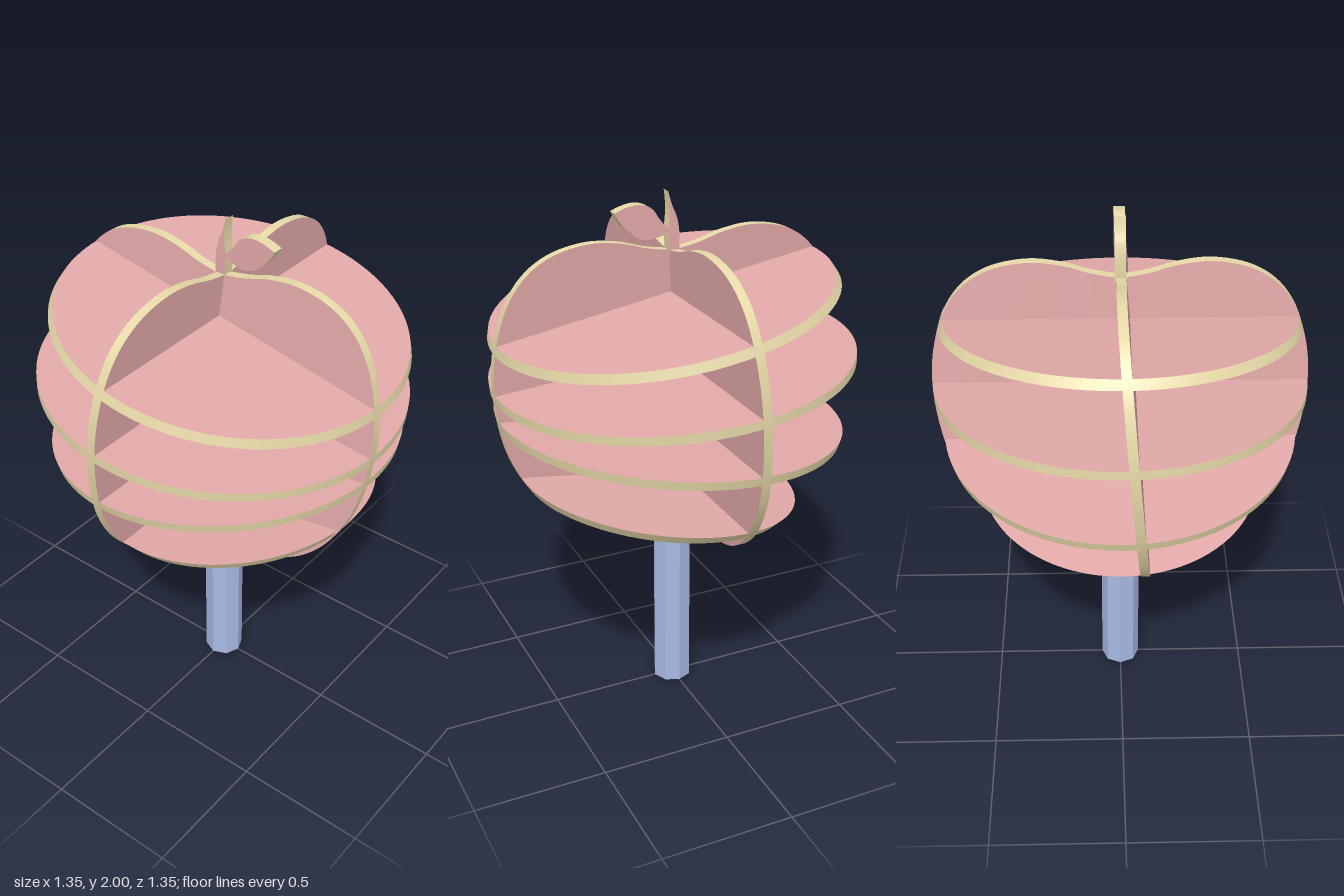
import * as THREE from 'three';
import { toCreasedNormals } from 'three/addons/utils/BufferGeometryUtils.js';

const face = new THREE.MeshStandardMaterial({ color: 0xe3a9a9 });
const rim = new THREE.MeshStandardMaterial({ color: 0xe6d9a8 });
const blue = new THREE.MeshStandardMaterial({ color: 0xa9b9e3 });
const T = 0.034; // plate thickness

// Half outline of the apple as (radius, height), from the bottom to the top dip
const half = new THREE.SplineCurve([
  [0, 0.722], [0.1, 0.718], [0.18, 0.713], [0.28, 0.722], [0.38, 0.755], [0.47, 0.82],
  [0.55, 0.915], [0.62, 1.05], [0.66, 1.2], [0.677, 1.37], [0.664, 1.52], [0.62, 1.66],
  [0.55, 1.758], [0.45, 1.82], [0.32, 1.845], [0.2, 1.832], [0.1, 1.803], [0, 1.785],
].map(([x, y]) => new THREE.Vector2(x, y))).getPoints(90);

// Outer radius of the apple at a height
function radiusAt(y) {
  let best = 0;
  for (let i = 1; i < half.length; i++) {
    const a = half[i - 1], b = half[i];
    if ((a.y - y) * (b.y - y) <= 0 && a.y !== b.y) {
      best = Math.max(best, a.x + (b.x - a.x) * (y - a.y) / (b.y - a.y));
    }
  }
  return best;
}

// Moves every vertex of a geometry by a rule
function moveVertices(geo, rule) {
  const p = geo.attributes.position, v = new THREE.Vector3();
  for (let i = 0; i < p.count; i++) {
    rule(v.fromBufferAttribute(p, i));
    p.setXYZ(i, v.x, v.y, v.z);
  }
  geo.computeVertexNormals();
  return geo;
}

function plateGeometry(shape, depth) {
  return new THREE.ExtrudeGeometry(shape, { depth, bevelEnabled: false, curveSegments: 10 })
    .translate(0, 0, -depth / 2);
}

// Sloping round slice: height a + b * x, trimmed to the apple surface
function sliceGeometry(a, b) {
  const geo = new THREE.CylinderGeometry(1, 1, T, 96, 1);
  return moveVertices(geo, (v) => {
    const off = v.y, len = Math.hypot(v.x, v.z);
    let r = 0;
    if (len > 0.5) {
      let lo = 0, hi = 0.75;
      for (let k = 0; k < 24; k++) {
        const mid = (lo + hi) / 2;
        if (mid < radiusAt(a + off + b * mid * v.x)) lo = mid; else hi = mid;
      }
      r = lo;
    }
    v.set(v.x * r, a + off + b * v.x * r, v.z * r);
  });
}

export function createModel() {
  const group = new THREE.Group();
  const add = (name, geo, mat) => {
    const mesh = new THREE.Mesh(geo, mat);
    mesh.name = name;
    group.add(mesh);
  };

  // Post
  add('post', new THREE.CylinderGeometry(0.075, 0.075, 0.866, 8).translate(0, 0.433, 0), blue);
  group.children[0].geometry = toCreasedNormals(group.children[0].geometry, 0.3);

  // Two crossed upright plates, each leaning a little
  const mirrored = half.slice(1, -1).reverse().map((p) => new THREE.Vector2(-p.x, p.y));
  const outline = new THREE.Shape([...half, ...mirrored]);
  const wide = moveVertices(plateGeometry(outline, T), (v) => { v.z += 0.08 * (1.845 - v.y); });
  const deep = moveVertices(plateGeometry(outline, T).rotateY(Math.PI / 2),
    (v) => { v.x += 0.005 - 0.084 * (1.845 - v.y); });
  add('uprightPlateWide', toCreasedNormals(wide, 0.6), [face, rim]);
  add('uprightPlateDeep', toCreasedNormals(deep, 0.6), [face, rim]);

  // Four sloping slices
  [[1.612, -0.173], [1.365, -0.0865], [1.1435, 0.0845], [0.869, 0.153]].forEach(([a, b], i) => {
    add('slice' + (i + 1), sliceGeometry(a, b), [rim, face, face]);
  });

  // Stalk and leaf, cut from one thickness
  const stalk = new THREE.Shape();
  stalk.moveTo(-0.02, 1.77);
  stalk.lineTo(0.016, 1.77);
  stalk.quadraticCurveTo(0.026, 1.84, 0.018, 1.9);
  stalk.quadraticCurveTo(0.014, 1.95, 0.022, 2.0);
  stalk.quadraticCurveTo(0.01, 1.95, -0.004, 1.925);
  stalk.quadraticCurveTo(-0.028, 1.87, -0.02, 1.77);
  const leaf = new THREE.Shape();
  leaf.moveTo(0.012, 1.86);
  leaf.bezierCurveTo(0.07, 1.83, 0.12, 1.82, 0.165, 1.865);
  leaf.quadraticCurveTo(0.2, 1.89, 0.226, 1.942);
  leaf.bezierCurveTo(0.17, 1.968, 0.11, 1.975, 0.075, 1.935);
  leaf.quadraticCurveTo(0.05, 1.89, 0.012, 1.86);
  add('stalk', toCreasedNormals(plateGeometry(stalk, 0.04), 0.6), [face, rim]);
  add('leaf', toCreasedNormals(plateGeometry(leaf, 0.04), 0.6), [face, rim]);

  return group;
}
